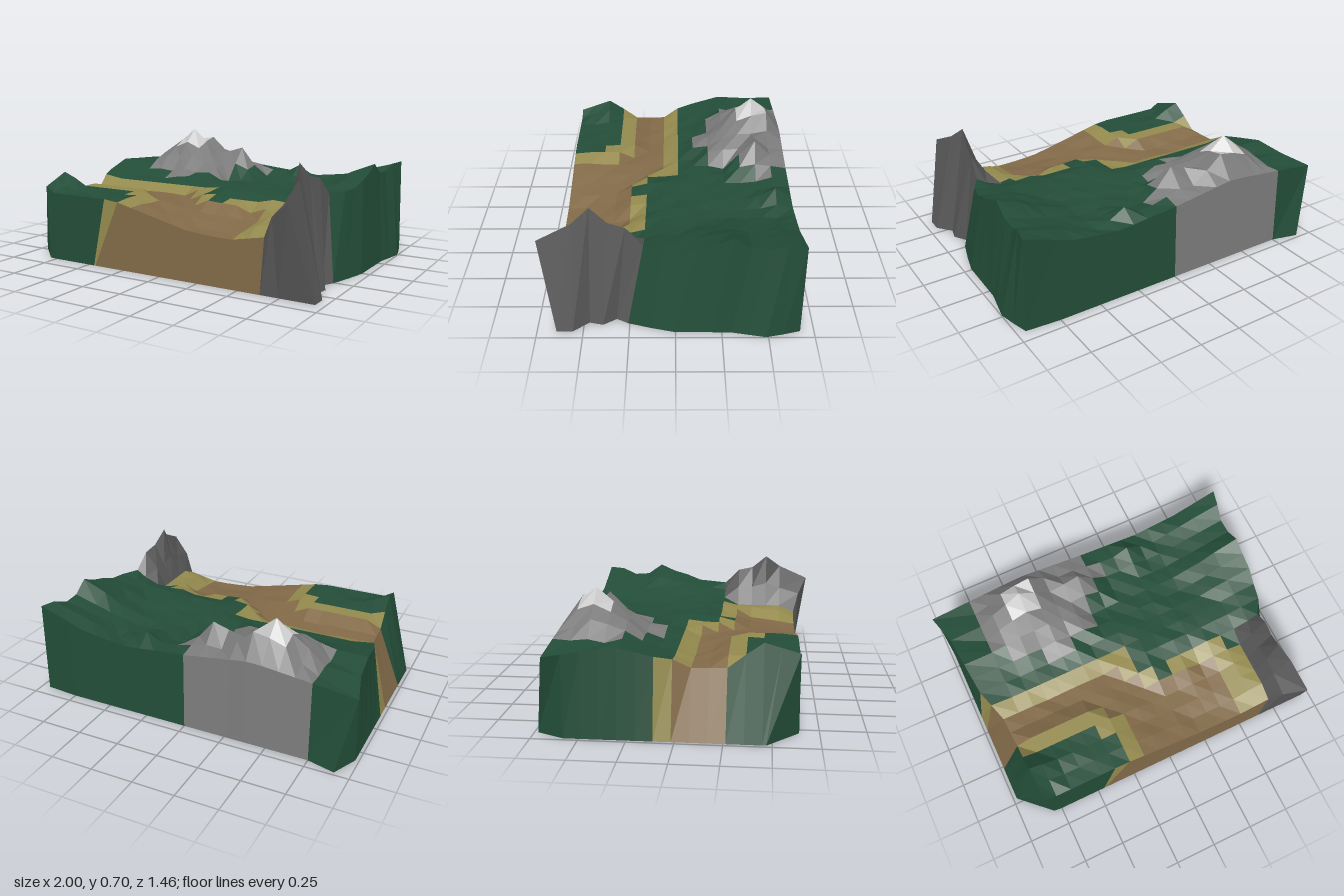
import * as THREE from 'three';

const STEP = 0.0938, HALF = 9, ROWS = 14;

// Piecewise-linear curve through [t, value] pairs
function curve(pts, t) {
  if (t <= pts[0][0]) return pts[0][1];
  for (let i = 1; i < pts.length; i++) {
    const [t0, v0] = pts[i - 1], [t1, v1] = pts[i];
    if (t <= t1) return v0 + (v1 - v0) * (t - t0) / (t1 - t0);
  }
  return pts[pts.length - 1][1];
}

function inside(poly, x, z) {
  let hit = false;
  for (let i = 0, j = poly.length - 1; i < poly.length; j = i++) {
    const [xi, zi] = poly[i], [xj, zj] = poly[j];
    if ((zi > z) !== (zj > z) && x < (xj - xi) * (z - zi) / (zj - zi) + xi) hit = !hit;
  }
  return hit;
}

// Repeatable roughness in -1..1
function rough(k, j) {
  const s = Math.sin(k * 127.1 + j * 311.7) * 43758.5453;
  return (s - Math.floor(s)) * 2 - 1;
}

// Ground zones, seen from above as [x, z]
const MOUNTAIN = [[-0.76, -0.8], [0, -0.8], [0, -0.58], [0.1, -0.58], [0.1, -0.49], [0, -0.4], [-0.09, -0.38],
  [-0.09, -0.2], [-0.28, -0.2], [-0.28, -0.11], [-0.4, -0.11], [-0.75, -0.31]];
const SNOW = [[-0.58, -0.585], [-0.37, -0.585], [-0.37, -0.48], [-0.4, -0.39], [-0.56, -0.39]];
const CRAG = [[0.65, 0.8], [0.64, 0.35], [0.66, 0.25], [0.66, 0.16], [1, 0.16], [1, 0.8]];
const BANK = [[-1, -0.03], [-0.1, -0.03], [0, 0.06], [0.04, 0.16], [0.09, 0.26], [0.17, 0.26], [0.18, 0.13],
  [0.35, 0.13], [0.64, 0.25], [0.66, 0.8], [-0.38, 0.8], [-0.29, 0.63], [-0.29, 0.45], [-0.39, 0.45], [-0.39, 0.36],
  [-0.8, 0.36], [-0.8, 0.27], [-1, 0.27]];
const PATH = [[-1, 0.065], [-0.18, 0.065], [0, 0.18], [0.1, 0.27], [0.38, 0.26], [0.48, 0.28], [0.48, 0.8],
  [-0.3, 0.8], [-0.2, 0.6], [-0.2, 0.36], [-0.3, 0.26], [-1, 0.25]];

// Rim position and height
const LEFT_X = [[-0.67, -1], [-0.5, -0.95], [-0.1, -0.91], [0.07, -0.85], [0.45, -0.83], [0.64, -0.81]];
const LEFT_Y = [[-0.67, 0.44], [-0.5, 0.46], [-0.3, 0.48], [-0.1, 0.43], [0, 0.41], [0.07, 0.36], [0.26, 0.36],
  [0.35, 0.43], [0.45, 0.5], [0.64, 0.44]];
const RIGHT_X = [[-0.67, 0.94], [-0.5, 0.9], [-0.3, 0.9], [-0.1, 0.9], [0.07, 0.87], [0.17, 0.81], [0.36, 0.78],
  [0.45, 0.76], [0.54, 0.8], [0.64, 0.83]];
const RIGHT_Y = [[-0.67, 0.555], [-0.58, 0.55], [-0.48, 0.51], [-0.39, 0.52], [-0.3, 0.585], [-0.2, 0.54], [-0.11, 0.515],
  [0, 0.475], [0.17, 0.48], [0.26, 0.575], [0.36, 0.6], [0.45, 0.68], [0.54, 0.61], [0.64, 0.52]];
const BACK_Y = [[-1, 0.44], [-0.75, 0.47], [-0.4, 0.51], [0, 0.455], [0.38, 0.42], [0.65, 0.455], [0.94, 0.555]];
const FRONT_Y = [[-0.3, 0.4], [0, 0.33], [0.2, 0.285], [0.45, 0.27], [0.65, 0.31]];
const CRAG_Y = [[0.17, 0.44], [0.26, 0.47], [0.36, 0.47], [0.45, 0.5], [0.54, 0.47], [0.64, 0.43]];

// Foot of the walls
const RIGHT_FOOT_X = [[-0.67, 0.95], [-0.5, 1], [-0.3, 0.96], [0, 0.955], [0.26, 0.85], [0.36, 0.9], [0.45, 0.88],
  [0.54, 0.95], [0.64, 0.95]];
const RIGHT_FOOT_Z = [[-0.675, -0.675], [-0.3, -0.3], [0, 0.03], [0.17, 0.26], [0.26, 0.32], [0.45, 0.47], [0.64, 0.645]];
const FRONT_FOOT_X = [[-0.81, -0.8], [-0.375, -0.46], [-0.28, -0.45], [-0.18, -0.25], [0, -0.02], [0.656, 0.635], [0.83, 0.95]];

// Peaks as x, z, height, slope
const PEAKS = [[-0.47, -0.49, 0.7, 0.85], [-0.375, -0.58, 0.64, 1.05], [-0.19, -0.49, 0.55, 0.8], [-0.094, -0.49, 0.59, 0.95],
  [-0.28, -0.3, 0.52, 0.6], [-0.6, -0.35, 0.52, 0.5], [-0.28, -0.17, 0.45, 0.4], [0.28, -0.58, 0.49, 0.6],
  [0.09, -0.58, 0.455, 0.4], [-0.8, -0.3, 0.49, 0.35], [-0.8, 0.45, 0.5, 0.6]];

function height(x, z, k, j) {
  if (j === 0) return curve(BACK_Y, x);
  if (k === 8 && z > 0.15) return curve(CRAG_Y, z);
  const floor = THREE.MathUtils.lerp(0.355, curve(FRONT_Y, x), THREE.MathUtils.clamp((z - 0.1) / 0.5, 0, 1));
  if (inside(PATH, x, z)) return floor + (j < ROWS ? 0.008 * rough(k, j) : 0);
  if (inside(BANK, x, z)) return Math.min(0.405, floor + (j < ROWS ? 0.04 : 0));
  if (k === 7 && z > 0.25) return j < ROWS ? 0.355 : 0.31;
  let y = 0.405;
  for (const [px, pz, py, slope] of PEAKS) y = Math.max(y, py - slope * Math.hypot(x - px, z - pz));
  if (z < 0.15) y = Math.max(y, 0.41 + (curve(RIGHT_Y, z) - 0.41) * Math.max(0, (x - 0.5) / 0.4));
  const bumpy = inside(MOUNTAIN, x, z) && y < 0.58 ? 0.022 : 0.008;
  return y + (j < ROWS && y < 0.6 ? bumpy * rough(k, j) : 0);
}

// Surface point at column k, row j
function topPoint(k, j) {
  const z = -0.675 + j * STEP + (j === ROWS ? 0.003 : 0);
  if (k === -HALF) return new THREE.Vector3(curve(LEFT_X, z), curve(LEFT_Y, z), z);
  if (k === HALF) return new THREE.Vector3(curve(RIGHT_X, z), curve(RIGHT_Y, z), j === ROWS ? 0.73 : z);
  const x = k === 8 && z > 0.2 ? 0.715 : k * STEP;
  return new THREE.Vector3(x, height(x, z, k, j), k === 8 && j === ROWS ? 0.675 : z);
}

// Point on the ground below a rim point
function footPoint(k, j) {
  const p = topPoint(k, j);
  if (k === -HALF) {
    if (j === 0) return new THREE.Vector3(-0.91, 0, -0.73);
    if (j === ROWS) return new THREE.Vector3(-0.8, 0, 0.64);
    return new THREE.Vector3(-0.98, 0, THREE.MathUtils.clamp(p.z, -0.6, 0.47));
  }
  if (k === HALF) return new THREE.Vector3(curve(RIGHT_FOOT_X, p.z), 0, curve(RIGHT_FOOT_Z, p.z));
  return j === 0 ? new THREE.Vector3(p.x, 0, -0.69) : new THREE.Vector3(curve(FRONT_FOOT_X, p.x), 0, 0.645);
}

function zoneAt(x, z) {
  if (inside(MOUNTAIN, x, z)) return 'mountain';
  if (inside(CRAG, x, z)) return 'crag';
  if (inside(PATH, x, z)) return 'dirtPath';
  return inside(BANK, x, z) ? 'grassBank' : 'forest';
}

// Zone of a wall panel from the middle of its top edge
function wallZone(x, z) {
  if (z > 0.63 && x < 0.65) return x < -0.375 ? 'forest' : x < -0.28 ? 'grassBank' : 'dirtPath';
  if (x < -0.8 && z > -0.11 && z < 0.07) return z < -0.02 ? 'grassBank' : 'dirtPath';
  return zoneAt(x, z);
}

const COLORS = { forest: 0x234d38, mountain: 0x7c7c7c, crag: 0x585858, snowCap: 0xcccccc, dirtPath: 0x826a48, grassBank: 0x948a4e };

export function createModel() {
  const group = new THREE.Group();
  group.name = 'terrainBlock';
  const surface = {}, walls = {};
  const add = (store, zone, ...pts) => {
    store[zone] ??= [];
    for (const p of pts) store[zone].push(p.x, p.y, p.z);
  };

  // Ground surface
  for (let k = -HALF; k < HALF; k++) {
    for (let j = 0; j < ROWS; j++) {
      const a = topPoint(k, j), b = topPoint(k, j + 1), c = topPoint(k + 1, j + 1), d = topPoint(k + 1, j);
      const zone = zoneAt((a.x + c.x) / 2, (a.z + c.z) / 2);
      for (const t of [[a, b, c], [a, c, d]]) {
        const m = t[0].clone().add(t[1]).add(t[2]).divideScalar(3);
        add(surface, inside(SNOW, m.x, m.z) ? 'snowCap' : zone, ...t);
      }
    }
  }

  // Side walls, walking around the rim; the underside stays open
  const rim = [];
  for (let j = 0; j < ROWS; j++) rim.push([-HALF, j]);
  for (let k = -HALF; k < HALF; k++) rim.push([k, ROWS]);
  for (let j = ROWS; j > 0; j--) rim.push([HALF, j]);
  for (let k = HALF; k > -HALF; k--) rim.push([k, 0]);
  rim.forEach((e, i) => {
    const n = rim[(i + 1) % rim.length];
    const p = topPoint(...e), q = topPoint(...n), bp = footPoint(...e), bq = footPoint(...n);
    add(walls, wallZone((p.x + q.x) / 2, (p.z + q.z) / 2), bp, bq, q, bp, q, p);
  });

  for (const [store, suffix] of [[surface, 'Surface'], [walls, 'Wall']]) {
    for (const zone in store) {
      const geometry = new THREE.BufferGeometry();
      geometry.setAttribute('position', new THREE.Float32BufferAttribute(store[zone], 3));
      geometry.computeVertexNormals();
      const mesh = new THREE.Mesh(geometry, new THREE.MeshStandardMaterial({
        color: COLORS[zone], flatShading: true, side: THREE.DoubleSide }));
      mesh.name = zone + suffix;
      group.add(mesh);
    }
  }
  return group;
}
